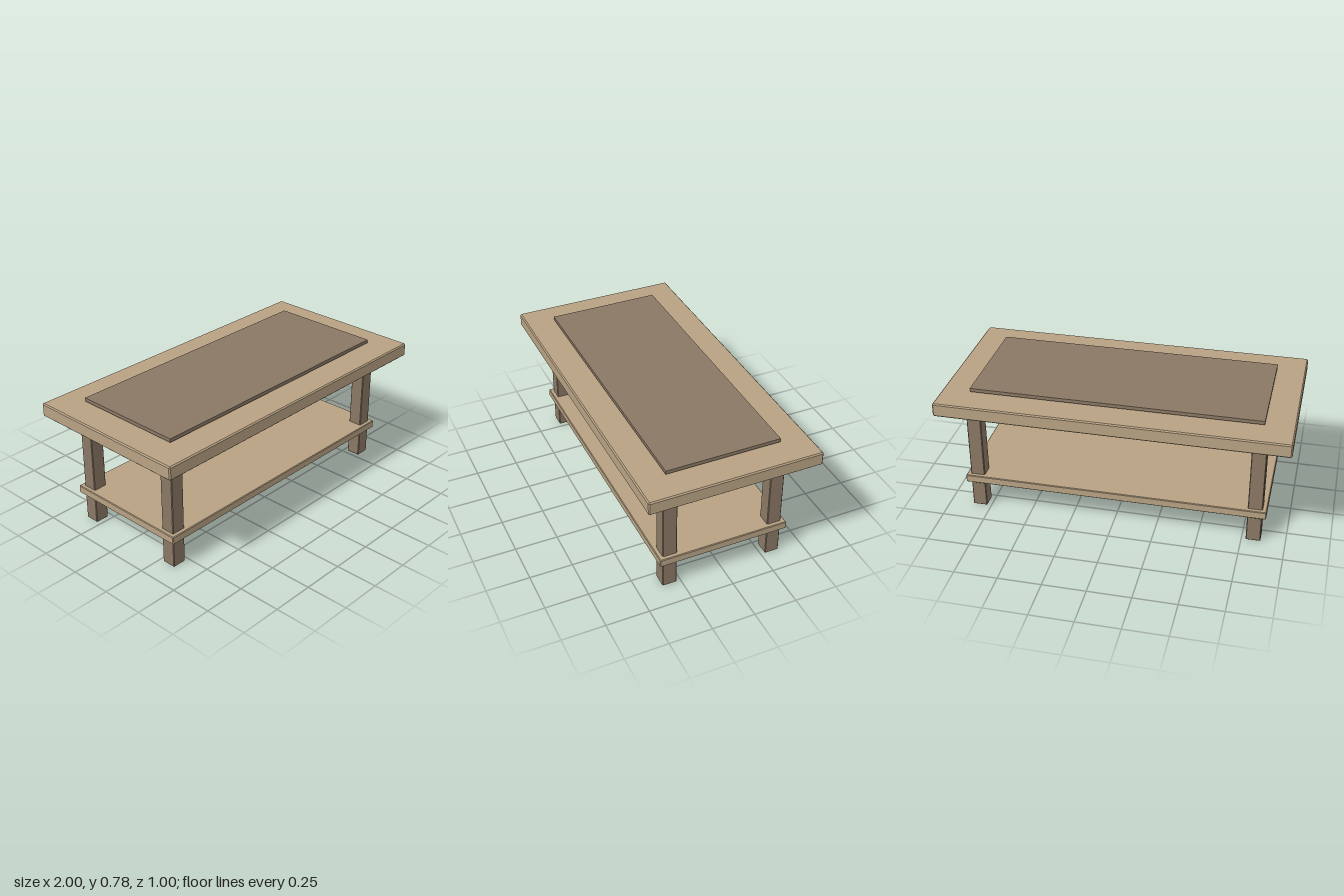
import * as THREE from 'three';
import { ConvexGeometry } from 'three/addons/geometries/ConvexGeometry.js';

const lightWood = new THREE.MeshStandardMaterial({ color: 0xb8a284 });
const darkWood = new THREE.MeshStandardMaterial({ color: 0x8a7864 });

// Box with 45 degree chamfers of width c on every edge
function chamferBox(w, h, d, c) {
  const points = [];
  for (const x of [-1, 1]) for (const y of [-1, 1]) for (const z of [-1, 1]) {
    for (let axis = 0; axis < 3; axis++) {
      const inset = [c, c, c];
      inset[axis] = 0;
      points.push(new THREE.Vector3(
        x * (w / 2 - inset[0]), y * (h / 2 - inset[1]), z * (d / 2 - inset[2])));
    }
  }
  return new ConvexGeometry(points);
}

export function createModel() {
  const table = new THREE.Group();
  table.name = 'coffeeTable';

  const add = (name, geometry, material, x, y, z) => {
    const mesh = new THREE.Mesh(geometry, material);
    mesh.name = name;
    mesh.position.set(x, y, z);
    table.add(mesh);
  };

  // Table top and the thin panel hovering just above it
  add('tableTop', chamferBox(2, 0.08, 1, 0.007), lightWood, 0, 0.709, 0);
  add('topPanel', new THREE.BoxGeometry(1.666, 0.021, 0.666), darkWood, 0, 0.767, 0);

  // Lower shelf, passing through the legs
  add('shelf', chamferBox(1.765, 0.047, 0.766, 0.004), lightWood, 0, 0.1935, 0);

  // Four square legs
  const leg = chamferBox(0.084, 0.667, 0.084, 0.004);
  for (const [side, x] of [['Left', 1], ['Right', -1]]) {
    for (const [end, z] of [['front', 1], ['back', -1]]) {
      add(`${end}${side}Leg`, leg, darkWood, x * 0.817, 0.3335, z * 0.317);
    }
  }
  return table;
}
